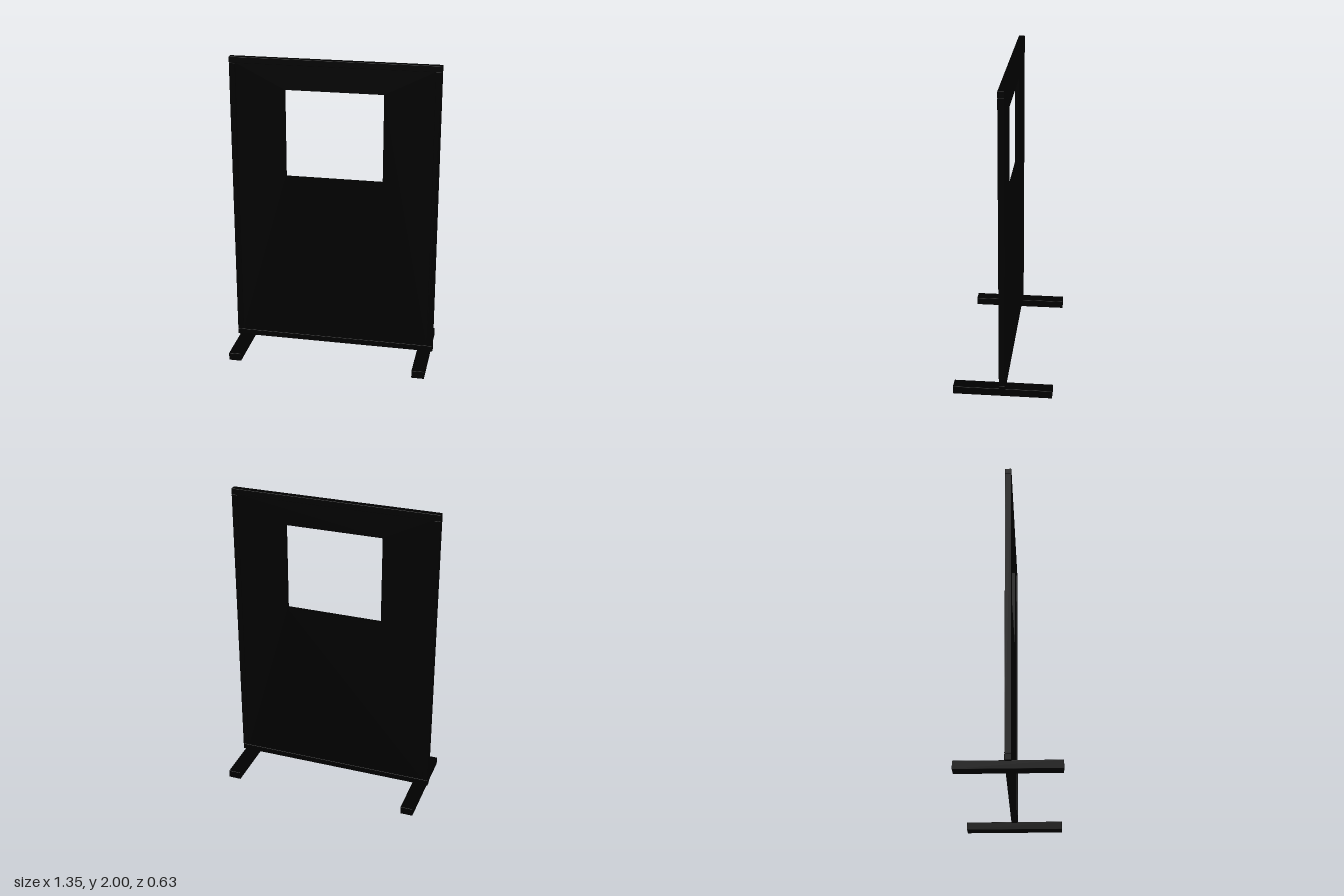
import * as THREE from 'three';
import { RoundedBoxGeometry } from 'three/addons/geometries/RoundedBoxGeometry.js';

export function createModel() {
  const group = new THREE.Group();
  const black = new THREE.MeshStandardMaterial({ color: 0x000000 });
  black.name = 'black';

  // Bar with slightly eased edges
  const bar = (name, w, h, d, x, y, z) => {
    const mesh = new THREE.Mesh(new RoundedBoxGeometry(w, h, d, 2, 0.003), black);
    mesh.name = name;
    mesh.position.set(x, y, z);
    group.add(mesh);
  };

  // Overall sizes
  const halfW = 0.675, bottom = 0.045, top = 2, size = 0.04;

  // Outer frame: rails run the full width, stiles fit between them
  bar('topRail', halfW * 2, size, size, 0, top - size / 2, 0);
  bar('bottomRail', halfW * 2, size, size, 0, bottom + size / 2, 0);
  for (const [side, s] of [['left', 1], ['right', -1]]) {
    bar(side + 'Stile', size, top - bottom - 2 * size, size,
      s * (halfW - size / 2), (top + bottom) / 2, 0);
    // Foot bar running front to back
    bar(side + 'Foot', 0.083, 0.052, 0.63, s * 0.614, 0.026, 0);
  }

  // Inset panel with an open window
  const rect = (Type, l, r, b, t) => {
    const p = new Type();
    p.moveTo(l, b);
    p.lineTo(r, b);
    p.lineTo(r, t);
    p.lineTo(l, t);
    p.closePath();
    return p;
  };
  const inner = halfW - size;
  const shape = rect(THREE.Shape, -inner, inner, bottom + size, top - size);
  shape.holes.push(rect(THREE.Path, -0.318, 0.318, 1.22, 1.8));
  const depth = 0.026;
  const panelGeometry = new THREE.ExtrudeGeometry(shape, { depth, bevelEnabled: false });
  panelGeometry.translate(0, 0, -depth / 2);
  const panel = new THREE.Mesh(panelGeometry, black);
  panel.name = 'panel';
  group.add(panel);

  return group;
}
